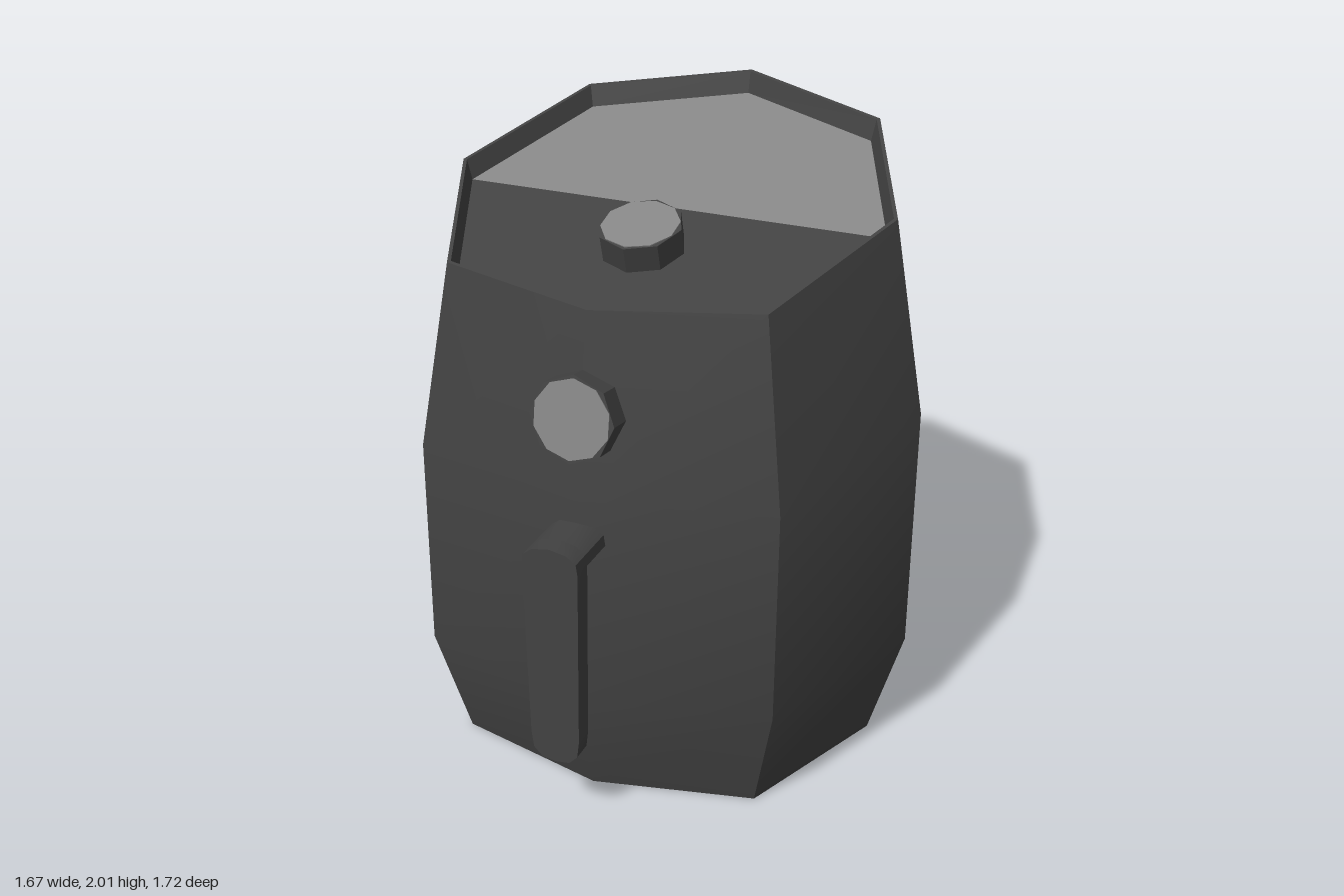
import * as THREE from 'three';
import { toCreasedNormals } from 'three/addons/utils/BufferGeometryUtils.js';

const dark = new THREE.MeshStandardMaterial({ color: 0x424242 });
dark.name = 'charcoal plastic';
const light = new THREE.MeshStandardMaterial({ color: 0x868686 });
light.name = 'grey panel';

const CZ = -0.03;      // depth of the widest corners
const SLOPE = 0.283;   // tilt of the top

// Eight corners of a cross-section, from the front corner round by +x
function ring(side, diag, front, frontDiag, back, backDiag, yAt) {
  const half = [[0, front], [diag, frontDiag], [side, CZ], [diag, backDiag], [0, back]];
  const pts = [...half, ...half.slice(1, 4).reverse().map(([x, z]) => [-x, z])];
  return pts.map(([x, z]) => new THREE.Vector3(x, yAt(z), z));
}

// Copy of a ring, drawn in towards the centre and lowered
function inset(src, k, drop) {
  return src.map(p => {
    const x = p.x * k, z = CZ + (p.z - CZ) * k;
    return new THREE.Vector3(x, p.y - SLOPE * (z - p.z) - drop, z);
  });
}

function fan(corners) {
  const tris = [];
  for (let i = 1; i < corners.length - 1; i++) tris.push(corners[0], corners[i], corners[i + 1]);
  return tris;
}

function surface(tris) {
  const g = new THREE.BufferGeometry().setFromPoints(tris);
  g.computeVertexNormals();
  return toCreasedNormals(g, 0.61);
}

function add(parent, name, geometry, material) {
  const m = new THREE.Mesh(geometry, material);
  m.name = name;
  parent.add(m);
  return m;
}

// Eight-sided knob with a thin pale face, axis tilted about x
function knob(name, radius, height, y, z, tilt) {
  const g = new THREE.Group();
  g.name = name;
  const base = new THREE.CylinderGeometry(radius, radius, height, 8);
  add(g, 'knobBase', toCreasedNormals(base, 0.5), dark).position.y = -height / 2;
  add(g, 'knobFace', new THREE.CylinderGeometry(radius * 0.92, radius * 0.92, 0.006, 10), light);
  g.position.set(0, y, z);
  g.rotation.x = tilt;
  return g;
}

export function createModel() {
  const model = new THREE.Group();
  model.name = 'airFryer';

  // Bulging body with a slanted top and a recessed lid
  const top = ring(0.725, 0.51, 0.58, 0.475, -0.725, -0.53, z => 1.815 - SLOPE * (z - CZ));
  const floor = inset(top, 0.96, 0.065);
  const rings = [
    ring(0.725, 0.51, 0.605, 0.485, -0.75, -0.54, () => 0),
    ring(0.835, 0.59, 0.715, 0.56, -0.86, -0.62, () => 0.38),
    ring(0.835, 0.59, 0.69, 0.55, -0.835, -0.605, z => (z > 0 ? 1.08 : 1.2)),
    top,
    inset(top, 0.983, 0),
    floor,
  ];
  const tris = fan([...rings[0]].reverse());
  for (let r = 0; r < rings.length - 1; r++) {
    for (let i = 0; i < 8; i++) {
      const j = (i + 1) % 8;
      const a = rings[r][i], b = rings[r][j], c = rings[r + 1][j], d = rings[r + 1][i];
      tris.push(a, b, c, a, c, d);
    }
  }
  add(model, 'body', surface(tris), dark);
  add(model, 'lidFront', surface(fan([6, 7, 0, 1, 2].map(i => floor[i]))), dark);
  add(model, 'lidBack', surface(fan([2, 3, 4, 5, 6].map(i => floor[i]))), light);

  // Knobs on the lid and the front
  model.add(knob('lidKnob', 0.132, 0.1, 1.773, 0.2, Math.atan(SLOPE)));
  model.add(knob('frontKnob', 0.135, 0.11, 1.347, 0.695, Math.PI / 2 - 0.167));

  // Handle: a long grip and a short arm sharing the rounded top
  const cap = [[0.09, 0.94], [0.085, 0.975], [0.055, 0.998], [0, 1.008]];
  const foot = [[0, 0.26], [0.045, 0.266], [0.073, 0.295], [0.08, 0.35]];
  const outline = half => new THREE.Shape(
    [...half, ...half.slice().reverse().map(([x, y]) => [-x, y])]
      .filter(([x], i) => x !== 0 || i < half.length)
      .map(([x, y]) => new THREE.Vector2(x, y)));
  const extrude = (half, depth) => toCreasedNormals(
    new THREE.ExtrudeGeometry(outline(half), { depth, bevelEnabled: false }), 0.7);
  const handle = new THREE.Group();
  handle.name = 'handle';
  add(handle, 'grip', extrude([...foot, ...cap], 0.065), dark).position.z = 0.798;
  add(handle, 'arm', extrude(cap, 0.14), dark).position.z = 0.66;
  model.add(handle);

  return model;
}
